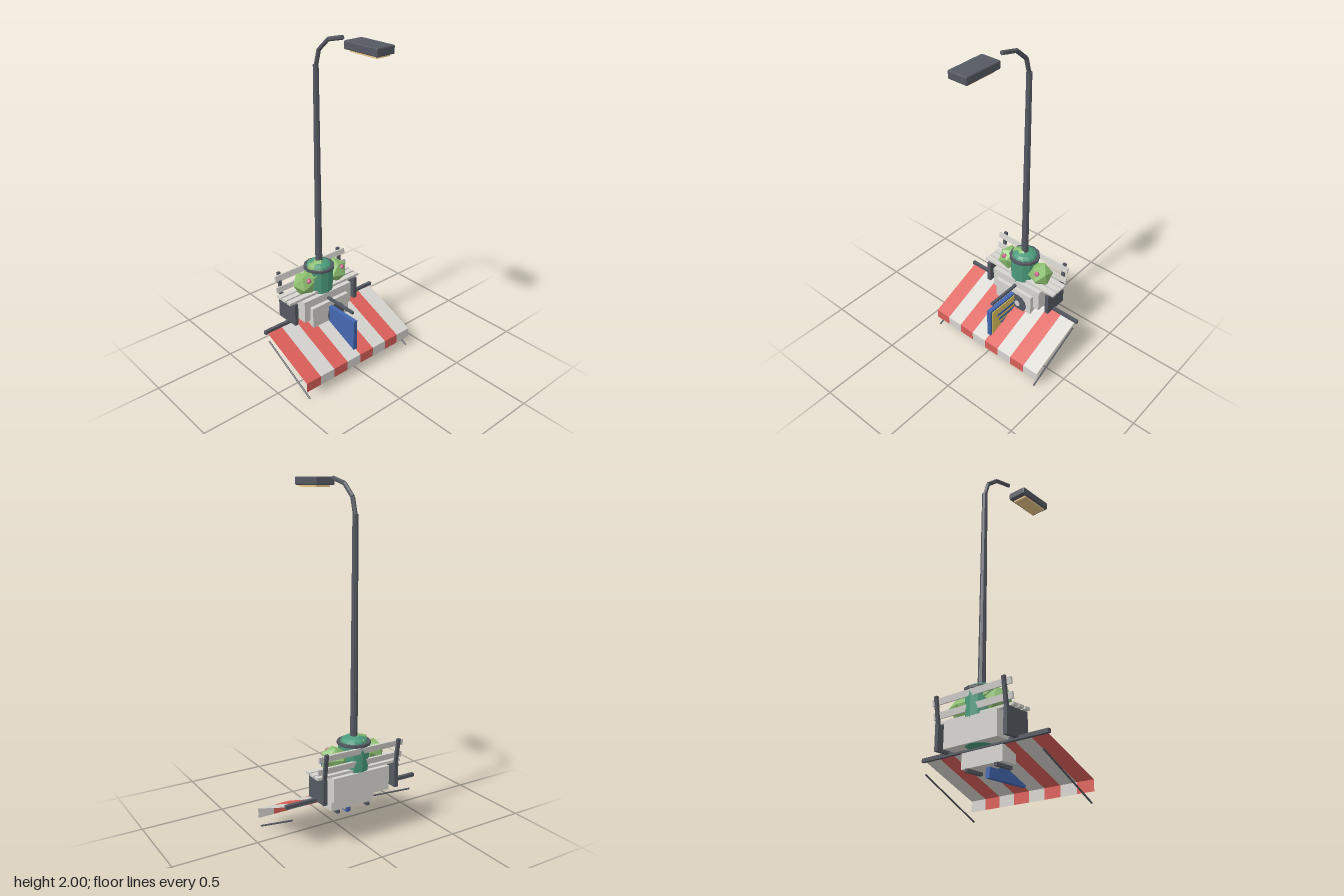
import * as THREE from 'three';
import { RoundedBoxGeometry } from 'three/addons/geometries/RoundedBoxGeometry.js';

const mat = (name, color, side = THREE.FrontSide) =>
  new THREE.MeshStandardMaterial({ name, color, side, flatShading: true });

export function createModel() {
  const root = new THREE.Group();
  const dark = mat('dark metal', 0x555962);
  const pale = mat('pale grey', 0xd6d4cf, THREE.DoubleSide);
  const red = mat('awning red', 0xdb5f58, THREE.DoubleSide);
  const green = mat('bin green', 0x4c9c7c);
  const leaf = mat('leaf green', 0x8cc070);
  const pink = mat('flower pink', 0xcc6690);
  const blue = mat('sign blue', 0x4468b0);
  const yellow = mat('sign yellow', 0xdcc25c);
  const glow = mat('lamp glow', 0xf0cc8c);

  const WALL = -0.217; // shared centre line of the street furniture
  const GROUND = 0.28; // level on which the furniture stands

  const group = (name) => {
    const g = new THREE.Group();
    g.name = name;
    root.add(g);
    return g;
  };
  const add = (parent, name, geo, material, x = 0, y = 0, z = 0) => {
    const m = new THREE.Mesh(geo, material);
    m.name = name;
    m.position.set(x, y, z);
    parent.add(m);
    return m;
  };
  // box given by its lower and upper corners
  const box = (parent, name, material, [x0, y0, z0], [x1, y1, z1]) =>
    add(parent, name, new THREE.BoxGeometry(x1 - x0, y1 - y0, z1 - z0), material,
      (x0 + x1) / 2, (y0 + y1) / 2, (z0 + z1) / 2);
  // round bar between two points
  const bar = (parent, name, material, a, b, ra, rb = ra, sides = 8) => {
    const p = new THREE.Vector3(...a), q = new THREE.Vector3(...b);
    const d = q.clone().sub(p);
    const m = add(parent, name, new THREE.CylinderGeometry(rb, ra, d.length(), sides), material);
    m.position.copy(p).add(q).multiplyScalar(0.5);
    m.quaternion.setFromUnitVectors(new THREE.Vector3(0, 1, 0), d.normalize());
    return m;
  };

  // street lamp: tapered pole, bent arm, flat head
  const lamp = group('streetLamp');
  bar(lamp, 'pole', dark, [0, GROUND, WALL], [0, 1.81, WALL], 0.023, 0.016);
  const arm = [[0, 1.8, WALL], [0, 1.895, -0.19], [0, 1.963, -0.112], [0, 1.99, 0]];
  for (let i = 0; i < 3; i++) bar(lamp, 'arm', dark, arm[i], arm[i + 1], 0.0125, 0.0125, 6);
  add(lamp, 'lampHead', new RoundedBoxGeometry(0.12, 0.045, 0.238, 1, 0.006), dark, 0, 1.975, 0.195);
  box(lamp, 'lampPanel', glow, [-0.045, 1.942, 0.105], [0.045, 1.955, 0.295]);

  // litter bin with rim and domed lid
  const bin = group('litterBin');
  add(bin, 'binBody', new THREE.CylinderGeometry(0.089, 0.08, 0.292, 12), green, 0, 0.424, WALL);
  add(bin, 'binRim', new THREE.CylinderGeometry(0.095, 0.095, 0.016, 12), dark, 0, 0.573, WALL);
  const dome = new THREE.SphereGeometry(0.078, 12, 4, 0, Math.PI * 2, 0, Math.PI / 2);
  add(bin, 'binLid', dome, green, 0, 0.579, WALL).scale.y = 0.42;

  // planter with bushes and flowers
  const planter = group('planter');
  box(planter, 'planterBox', pale, [-0.183, GROUND, -0.301], [0.183, 0.42, -0.133]);
  const bushes = [[-0.118, 0.497, 0.078, 0.4], [-0.018, 0.543, 0.088, 1.1], [0.128, 0.497, 0.08, 2.0]];
  for (const [x, y, r, turn] of bushes) {
    const b = add(planter, 'bush', new THREE.IcosahedronGeometry(r, 0), leaf, x, y, -0.215);
    b.rotation.set(turn * 0.6, turn, 0);
    b.scale.setScalar(0.97);
  }
  for (const x of [-0.122, 0.138])
    add(planter, 'flower', new THREE.IcosahedronGeometry(0.018, 0), pink, x, 0.533, -0.166);

  // bench: seat slats, leaning back slats, end frames
  const bench = group('bench');
  for (const z of [-0.266, -0.222, -0.176])
    box(bench, 'seatSlat', pale, [-0.273, 0.424, z - 0.018], [0.273, 0.439, z + 0.018]);
  for (const [y, z] of [[0.472, -0.287], [0.546, -0.298]])
    add(bench, 'backSlat', new THREE.BoxGeometry(0.546, 0.035, 0.012), pale, 0, y, z).rotation.x = -0.15;
  for (const s of [-1, 1]) {
    const x = s * 0.235;
    box(bench, 'endFrame', dark, [x - 0.012, GROUND, -0.302], [x + 0.012, 0.424, -0.145]);
    add(bench, 'backPost', new THREE.BoxGeometry(0.02, 0.16, 0.016), dark, x, 0.495, -0.303).rotation.x = -0.15;
  }

  // air conditioner on two brackets, with round fan grille
  const ac = group('airConditioner');
  box(ac, 'acBody', pale, [-0.14, 0.185, -0.21], [0.14, 0.37, -0.108]);
  const disc = (name, r, depth, material, z) =>
    add(ac, name, new THREE.CylinderGeometry(r, r, depth, 12), material, 0.04, 0.275, z).rotation.x = Math.PI / 2;
  disc('fanGrille', 0.065, 0.008, dark, -0.105);
  disc('fanHub', 0.02, 0.006, pale, -0.1);
  for (const x of [-0.1, 0.1])
    box(ac, 'acBracket', dark, [x - 0.01, 0.166, WALL], [x + 0.01, 0.184, -0.1]);

  // projecting sign below a wall bar
  const sign = group('projectingSign');
  box(sign, 'signBar', dark, [-0.008, 0.376, WALL], [0.008, 0.391, 0.095]);
  box(sign, 'signBoard', blue, [-0.016, 0.13, -0.165], [0.011, 0.338, 0.12]);
  box(sign, 'signFace', yellow, [0.011, 0.143, -0.152], [0.016, 0.325, 0.107]);
  for (const [y, z0, z1] of [[0.27, -0.105, 0.06], [0.229, -0.095, 0.045], [0.19, -0.08, 0.03]])
    box(sign, 'signStripe', blue, [0.016, y - 0.009, z0], [0.018, y + 0.009, z1]);

  // striped awning: sloping sheet, valance, wall rail and stay rods
  const awning = group('awning');
  const W = 0.826 / 8, rise = 0.155, run = 0.365;
  for (let i = 0; i < 8; i++) {
    const x = -0.413 + W * (i + 0.5), m = i % 2 ? pale : red;
    const sheet = add(awning, 'awningStripe', new THREE.PlaneGeometry(W, Math.hypot(rise, run)), m,
      x, 0.12 + rise / 2, 0.163 - run / 2);
    sheet.rotation.x = -Math.atan2(run, rise);
    add(awning, 'valanceStripe', new THREE.PlaneGeometry(W, 0.06), m, x, 0.09, 0.163);
  }
  box(awning, 'wallRail', dark, [-0.428, 0.27, -0.218], [0.428, 0.291, -0.198]);
  for (const s of [-1, 1])
    bar(awning, 'stayRod', dark, [s * 0.394, 0.005, 0.165], [s * 0.394, 0.2, WALL], 0.005, 0.005, 6);

  return root;
}
